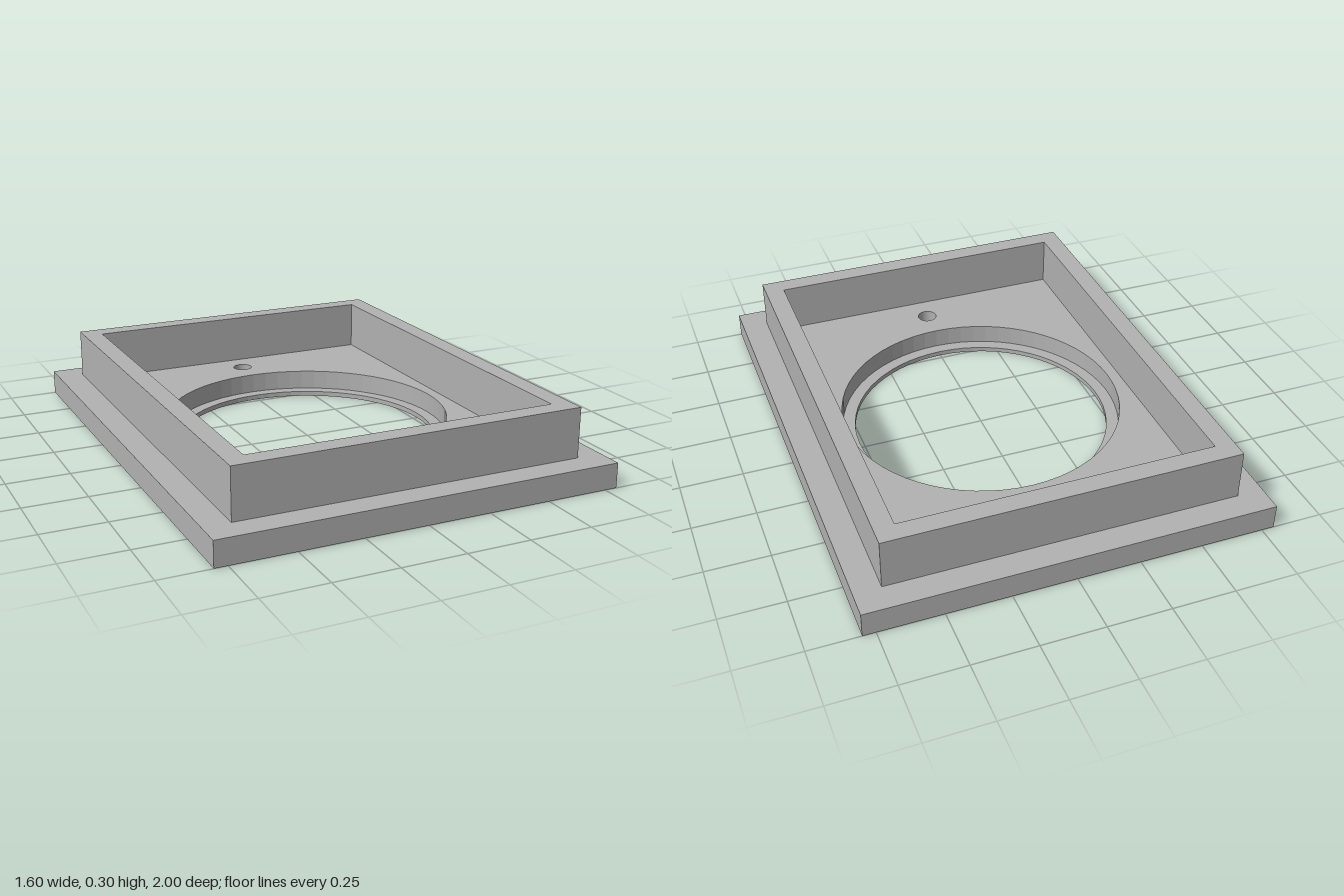
import * as THREE from 'three';

// Centred rectangle of half-sizes hx, hz
function rect(hx, hz, Type = THREE.Shape) {
  return new Type().moveTo(-hx, -hz).lineTo(hx, -hz).lineTo(hx, hz).lineTo(-hx, hz).closePath();
}

function circle(r, z = 0) {
  return new THREE.Path().absarc(0, z, r, 0, Math.PI * 2, true);
}

// Flat layer with holes, standing between two heights
function layer(name, outline, holes, y0, y1, material) {
  outline.holes.push(...holes);
  const geometry = new THREE.ExtrudeGeometry(outline, {
    depth: y1 - y0, bevelEnabled: false, curveSegments: 32,
  });
  geometry.rotateX(-Math.PI / 2).translate(0, y0, 0);
  const mesh = new THREE.Mesh(geometry, material);
  mesh.name = name;
  return mesh;
}

export function createModel() {
  const grey = new THREE.MeshStandardMaterial({ color: 0xb2b2b2 });
  grey.name = 'grey';

  const model = new THREE.Group();
  model.name = 'flangedFrame';
  model.add(
    // Thin bottom with the through opening; its rim forms the ledge
    layer('bottomLedge', rect(0.8, 1), [circle(0.52)], 0, 0.02, grey),
    // Flange with the wider recess and two blind screw holes
    layer('flange', rect(0.8, 1), [circle(0.57), circle(0.04, 0.7), circle(0.04, -0.7)], 0.02, 0.1, grey),
    // Raised rectangular wall
    layer('wall', rect(0.695, 0.895), [rect(0.617, 0.818, THREE.Path)], 0.1, 0.3, grey),
  );
  return model;
}
